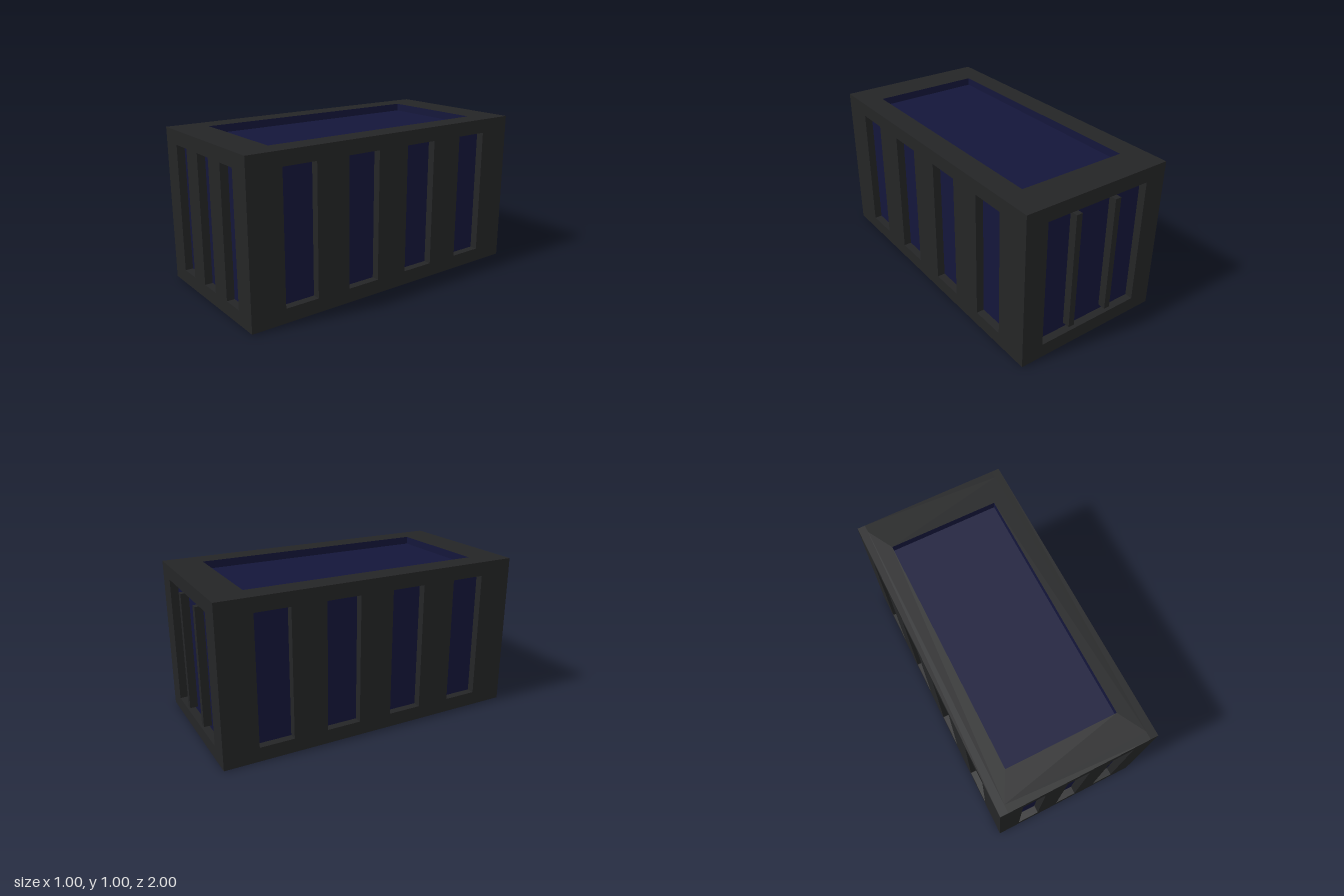
import * as THREE from 'three';

const T = 0.05; // wall thickness, also the recess depth
const W = 1, H = 1, L = 2;

const frameMat = new THREE.MeshStandardMaterial({ color: 0x242526 });
const panelMat = new THREE.MeshStandardMaterial({ color: 0x14163a });

// Centred rectangle traced as a closed outline
function rect(path, cx, w, h) {
  path.moveTo(cx - w / 2, -h / 2);
  path.lineTo(cx + w / 2, -h / 2);
  path.lineTo(cx + w / 2, h / 2);
  path.lineTo(cx - w / 2, h / 2);
  path.closePath();
  return path;
}

// Flat wall with a row of windows; its outer face looks along +z at distance `reach`
function wall(name, w, h, reach, windows, winW, winH, rimMat = frameMat) {
  const shape = rect(new THREE.Shape(), 0, w, h);
  for (const cx of windows) shape.holes.push(rect(new THREE.Path(), cx, winW, winH));
  const geo = new THREE.ExtrudeGeometry(shape, { depth: T, bevelEnabled: false });
  geo.translate(0, 0, reach - T);
  const mesh = new THREE.Mesh(geo, [frameMat, rimMat]);
  mesh.name = name;
  mesh.position.y = H / 2;
  return mesh;
}

export function createModel() {
  const group = new THREE.Group();
  group.name = 'container';

  // Inner body seen through the openings
  const core = new THREE.Mesh(new THREE.BoxGeometry(W - 2 * T, H - 2 * T, L - 2 * T), panelMat);
  core.name = 'innerPanels';
  core.position.y = H / 2;
  group.add(core);

  // Front wall with three slots, back wall with one wide opening
  const front = wall('frontWall', W - 2 * T, H, L / 2, [-0.285, 0, 0.285], 0.143, 0.82);
  const back = wall('backWall', W - 2 * T, H, L / 2, [0], 0.714, 0.82);
  back.rotation.y = Math.PI;
  group.add(front, back);

  // Long side walls with four slots each
  for (const s of [-1, 1]) {
    const side = wall(s > 0 ? 'leftWall' : 'rightWall', L, H, W / 2,
      [-0.667, -0.222, 0.222, 0.667], 0.222, 0.82);
    side.rotation.y = s * Math.PI / 2;
    group.add(side);
  }

  // Roof and floor frames, with recess rims in the panel colour
  for (const s of [-1, 1]) {
    const slab = wall(s > 0 ? 'roofFrame' : 'floorFrame', W - 2 * T, L - 2 * T, H / 2,
      [0], 0.714, 1.56, panelMat);
    slab.rotation.x = -s * Math.PI / 2;
    group.add(slab);
  }

  // Two slim upright door bars standing in the back opening
  for (const s of [-1, 1]) {
    const bar = new THREE.Mesh(new THREE.BoxGeometry(0.04, 0.76, T), frameMat);
    bar.name = 'doorBar';
    bar.position.set(s * 0.142, H / 2, -L / 2 + T / 2);
    group.add(bar);
  }

  return group;
}
